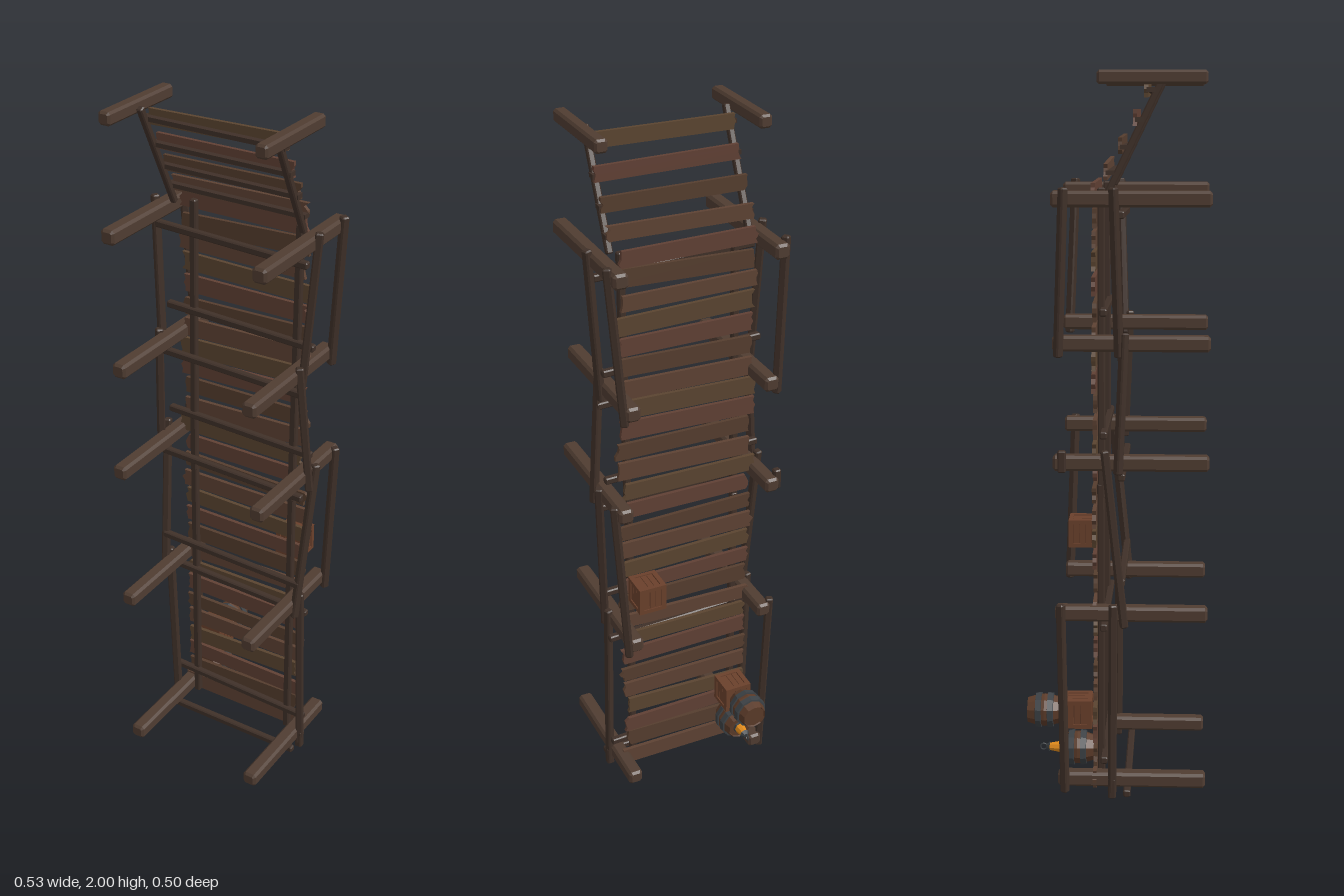
import * as THREE from 'three';

const V = (x, y, z) => new THREE.Vector3(x, y, z);
const wood = (color) => new THREE.MeshStandardMaterial({ color, flatShading: true });
const POST = wood(0x4f3c31), RAIL = wood(0x3f3028), CRATE = wood(0x6a402b), SLAT = wood(0x573524);
const PLANKS = [0x5d4233, 0x553d2e, 0x604034, 0x5a4430].map(wood);
const STAVE = wood(0x5a3a28), IRON = wood(0x3b4044), GLOW = wood(0xe08a1a);

export function createModel() {
  const root = new THREE.Group();
  let seed = 7;
  const rnd = (r) => {
    seed = (seed * 16807) % 2147483647;
    return (seed / 2147483647 * 2 - 1) * r;
  };

  function add(name, geo, mat, pos, parent = root) {
    const m = new THREE.Mesh(geo, mat);
    m.name = name;
    if (pos) m.position.copy(pos);
    parent.add(m);
    return m;
  }

  // Chamfered square timber running from a to b
  function beam(name, a, b, w, mat) {
    const bev = w * 0.16, h = w / 2 - bev, c = w * 0.08;
    const s = new THREE.Shape([[h, -h + c], [h, h - c], [h - c, h], [-h + c, h], [-h, h - c], [-h, -h + c], [-h + c, -h], [h - c, -h]]
      .map(([x, y]) => new THREE.Vector2(x, y)));
    const len = a.distanceTo(b);
    const geo = new THREE.ExtrudeGeometry(s, {
      depth: len - 2 * bev, bevelEnabled: true, bevelSize: bev, bevelThickness: bev, bevelSegments: 1
    });
    geo.translate(0, 0, bev);
    const m = add(name, geo, mat, a);
    m.lookAt(b);
    return m;
  }

  // Board with split ends, lying in the xy plane
  function plank(name, x0, x1, y, z, h, tilt, mat) {
    const pts = [];
    const w = (x1 - x0) / 2, n = 4;
    for (let i = 0; i <= n; i++) pts.push(new THREE.Vector2(w + rnd(0.007), -h / 2 + h * i / n));
    for (let i = n; i >= 0; i--) pts.push(new THREE.Vector2(-w + rnd(0.007), -h / 2 + h * i / n));
    const geo = new THREE.ExtrudeGeometry(new THREE.Shape(pts), { depth: 0.011, bevelEnabled: false });
    geo.translate(0, 0, -0.0055);
    add(name, geo, mat, V((x0 + x1) / 2, y, z)).rotation.z = tilt;
  }

  // Support posts: [y, right x, left x, back end z, front end z]
  const rows = [
    [0.05, -0.196, 0.206, -0.165, 0.25], [0.545, -0.21, 0.197, -0.168, 0.25],
    [0.98, -0.222, 0.222, -0.17, 0.25], [1.295, -0.21, 0.197, -0.17, 0.25],
    [1.675, -0.228, 0.225, -0.17, 0.25], [1.982, -0.233, 0.219, -0.048, 0.235]
  ];
  rows.forEach(([y, xr, xl, z0, z1], i) => {
    for (const x of [xr, xl]) {
      const d = i === 2 ? Math.sign(x) * 0.007 : 0;
      beam('post', V(x, y + d, z0), V(x, y + d, z1), i === 5 ? 0.036 : 0.042, POST);
    }
  });

  // Deck planks
  for (let i = 0; i < 27; i++) {
    plank('deckPlank', -0.205 + rnd(0.01), 0.194 + rnd(0.01), 0.053 + i * 0.063 + rnd(0.003), -0.06 + rnd(0.002),
      0.048 + rnd(0.006), rnd(0.035), PLANKS[i % 4]);
  }

  // Stringers under the deck
  for (const x of [-0.163, 0.165]) {
    beam('stringer', V(x, 0.03, -0.044), V(x, 0.9, -0.044), 0.02, RAIL);
    beam('stringer', V(x, 0.86, -0.042), V(x + 0.01, 1.7, -0.042), 0.02, RAIL);
  }

  // Cross beams clamped around the posts: [y, z]
  for (const [y, z] of [[0.11, -0.034], [0.018, 0.03], [0.5, -0.034], [0.63, 0.014], [1.04, -0.034],
    [0.925, 0.014], [1.37, -0.034], [1.25, 0.014], [1.625, 0.012]]) {
    const t = y < 0.05 ? 0.002 : 0.009;
    beam('crossBeam', V(-0.238, y + t, z), V(0.23, y - t, z), 0.02, RAIL);
  }

  // Side poles and outer handrails, joined post to post: [from row, to row, z from, z to]
  function sidePole(name, side, i, j, zi, zj, w) {
    const at = (k) => rows[k][side < 0 ? 1 : 2] + side * 0.023;
    const [yi, yj] = [rows[i][0], rows[j][0]];
    const k = 0.035 / (yj - yi), dx = (at(j) - at(i)) * k;
    beam(name, V(at(i) - dx, Math.max(yi - 0.035, 0), zi), V(at(j) + dx, yj + 0.03, zj), w, RAIL);
  }
  for (const s of [-1, 1]) {
    sidePole('sidePole', s, 0, 1, -0.012, -0.008, 0.022);
    sidePole('sidePole', s, 1, 2, 0.022, -0.03, 0.022);
    sidePole('sidePole', s, 2, 3, 0.006, 0.022, 0.022);
    sidePole('sidePole', s, 3, 4, 0.008, -0.006, 0.022);
    sidePole('handrail', s, 3, 4, -0.154, -0.136, 0.022);
  }
  beam('sidePoleFoot', V(-0.219, 0, -0.012), V(-0.219, 0.06, -0.012), 0.022, RAIL);
  beam('sidePoleFoot', V(0.229, 0, -0.012), V(0.229, 0.06, -0.012), 0.022, RAIL);
  sidePole('handrail', 1, 1, 2, -0.158, -0.14, 0.022);
  sidePole('handrail', -1, 0, 1, -0.145, -0.152, 0.022);
  beam('handrailStub', V(-0.246, 0.95, -0.145), V(-0.246, 1.01, -0.145), 0.022, RAIL);

  // Sloping end ramp with rungs
  for (const x of [-0.202, 0.195]) beam('rampStringer', V(x, 1.69, -0.022), V(x, 1.985, 0.122), 0.018, RAIL);
  [[1.745, -0.028], [1.81, 0.01], [1.88, 0.048], [1.955, 0.077]].forEach(([y, z], i) => {
    plank('rampPlank', -0.207, 0.2, y, z, 0.042, 0.012 - 0.008 * (i % 3), PLANKS[i % 4]);
    const b = add('rampRung', new THREE.BoxGeometry(0.42, 0.012, 0.024), RAIL, V(-0.003, y - 0.006, z + 0.012));
    b.rotation.z = -0.01;
  });

  // Slatted crates standing on the deck
  function crate(x, y, z) {
    const g = new THREE.Group();
    g.name = 'crate';
    g.position.set(x, y, z);
    root.add(g);
    const s = 0.082, h = s / 2;
    add('crateBody', new THREE.BoxGeometry(s - 0.01, s - 0.01, s - 0.01), SLAT, null, g);
    // Each face: frame of two stiles, two rails and inner boards
    for (let f = 0; f < 6; f++) {
      const face = new THREE.Group();
      face.name = 'crateFace';
      if (f < 4) face.rotation.y = f * Math.PI / 2;
      else face.rotation.x = (f === 4 ? 1 : -1) * Math.PI / 2;
      g.add(face);
      for (const d of [-1, 1]) {
        add('crateStile', new THREE.BoxGeometry(0.014, s, 0.006), CRATE, V(d * (h - 0.007), 0, h - 0.003), face);
        add('crateRail', new THREE.BoxGeometry(s - 0.028, 0.012, 0.006), CRATE, V(0, d * (h - 0.006), h - 0.003), face);
      }
      for (const d of [-1, 0, 1]) {
        add('crateSlat', new THREE.BoxGeometry(0.016, s - 0.024, 0.004), CRATE, V(d * 0.018, 0, h - 0.005), face);
      }
    }
  }
  crate(-0.14, 0.23, -0.112);
  crate(0.14, 0.68, -0.112);

  // Barrels with iron hoops, their axis along z
  function barrel(x, y, z) {
    const g = new THREE.Group();
    g.name = 'barrel';
    g.position.set(x, y, z);
    g.rotation.x = -Math.PI / 2;
    root.add(g);
    const prof = [[0, -0.044], [0.034, -0.044], [0.036, -0.048], [0.044, -0.022], [0.047, 0], [0.044, 0.022],
      [0.036, 0.048], [0.034, 0.044], [0, 0.044]].map(([r, h]) => new THREE.Vector2(r, h));
    add('barrelBody', new THREE.LatheGeometry(prof, 10), STAVE, null, g);
    for (const d of [-1, 1]) {
      const ring = [[0.042, -0.009], [0.049, -0.008], [0.051, 0.008], [0.042, 0.009]]
        .map(([r, h]) => new THREE.Vector2(r, d < 0 ? h : -h));
      if (d > 0) ring.reverse();
      add('barrelHoop', new THREE.LatheGeometry(ring, 10), IRON, V(0, d * 0.017, 0), g);
    }
  }
  barrel(-0.143, 0.23, -0.206);
  barrel(-0.143, 0.118, -0.113);

  // Lantern on the lower barrel
  const lantern = new THREE.Group();
  lantern.name = 'lantern';
  lantern.position.set(-0.143, 0.118, -0.157);
  lantern.rotation.x = -Math.PI / 2;
  root.add(lantern);
  add('lanternBase', new THREE.CylinderGeometry(0.018, 0.02, 0.006, 8), IRON, V(0, 0.003, 0), lantern);
  add('lanternGlass', new THREE.CylinderGeometry(0.011, 0.017, 0.03, 8), GLOW, V(0, 0.021, 0), lantern);
  add('lanternCap', new THREE.CylinderGeometry(0.006, 0.015, 0.01, 8), IRON, V(0, 0.041, 0), lantern);
  add('lanternRing', new THREE.TorusGeometry(0.009, 0.002, 5, 12), IRON, V(0, 0.054, 0), lantern).rotation.y = Math.PI / 2;

  return root;
}
